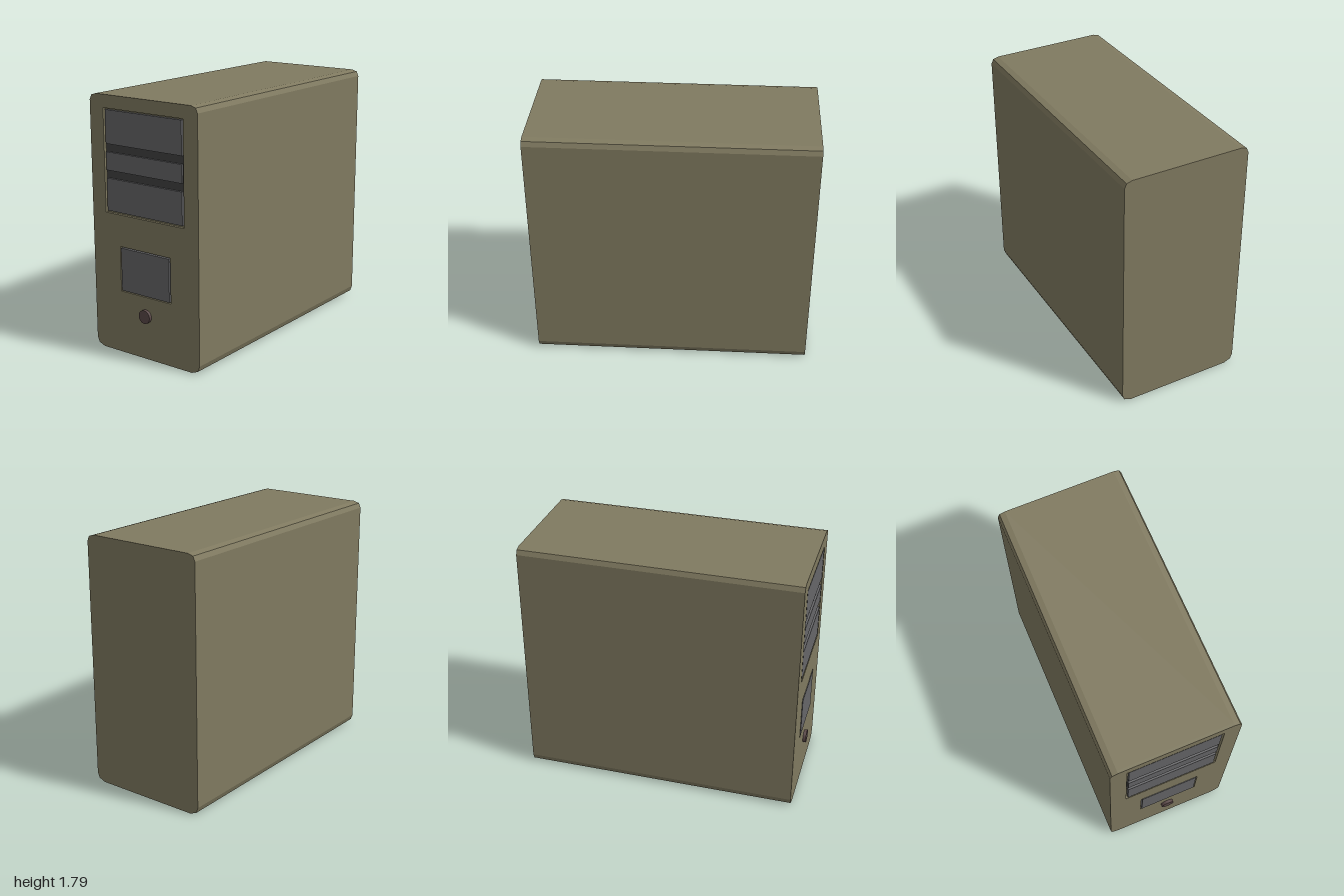
import * as THREE from 'three';

const mat = (color) => new THREE.MeshStandardMaterial({ color, flatShading: true });

// Closed outline from corner points
function outline(points, Type = THREE.Shape) {
  return new Type(points.map(([x, y]) => new THREE.Vector2(x, y)));
}

function rectHole(halfW, y0, y1) {
  return outline([[-halfW, y0], [-halfW, y1], [halfW, y1], [halfW, y0]], THREE.Path);
}

export function createModel() {
  const group = new THREE.Group();
  const shell = mat(0x807a60);
  const grey = mat(0x666668);
  const dark = mat(0x414141);

  const add = (name, geometry, material, x = 0, y = 0, z = 0) => {
    const mesh = new THREE.Mesh(geometry, material);
    mesh.name = name;
    mesh.position.set(x, y, z);
    group.add(mesh);
    return mesh;
  };

  // Box on the front, given by its half width, height range and depth range
  const panel = (name, halfW, y0, y1, z0, z1, material) =>
    add(name, new THREE.BoxGeometry(halfW * 2, y1 - y0, z1 - z0), material,
      0, (y0 + y1) / 2, (z0 + z1) / 2);

  // Case section with two-step chamfered corners, mirrored across x
  const half = [[0.39, 0], [0.44, 0.02], [0.455, 0.06], [0.455, 1.745], [0.44, 1.778], [0.4, 1.79]];
  const section = [...half, ...half.slice().reverse().map(([x, y]) => [-x, y])];
  const front = 0.978;
  const recess = 0.02;

  const caseDepth = front - recess + 1;
  add('case', new THREE.ExtrudeGeometry(outline(section), { depth: caseDepth, bevelEnabled: false }),
    shell, 0, 0, -1);

  // Front plate with the two bay openings
  const plate = outline(section);
  plate.holes.push(rectHole(0.338, 0.985, 1.7), rectHole(0.218, 0.445, 0.763));
  add('frontPlate', new THREE.ExtrudeGeometry(plate, { depth: recess, bevelEnabled: false }),
    shell, 0, 0, front - recess);

  // Drive bay covers, separated by dark grooves
  const back = front - recess - 0.01;
  panel('upperBayCover', 0.323, 1.46, 1.69, back, front - 0.001, grey);
  panel('lowerBayCover', 0.323, 1.0, 1.225, back, front - 0.001, grey);
  panel('bayGroove', 0.33, 1.225, 1.46, back, front - 0.014, dark);
  panel('middleBayCover', 0.323, 1.28, 1.405, back, front - 0.001, grey);

  // Small bay cover, standing slightly proud
  panel('smallBayCover', 0.208, 0.453, 0.755, back, front + 0.003, grey);

  // Power button
  const button = add('powerButton', new THREE.CylinderGeometry(0.047, 0.047, 0.04, 32),
    new THREE.MeshStandardMaterial({ color: 0x5a4848 }), 0, 0.31, 0.98);
  button.rotation.x = Math.PI / 2;

  return group;
}
